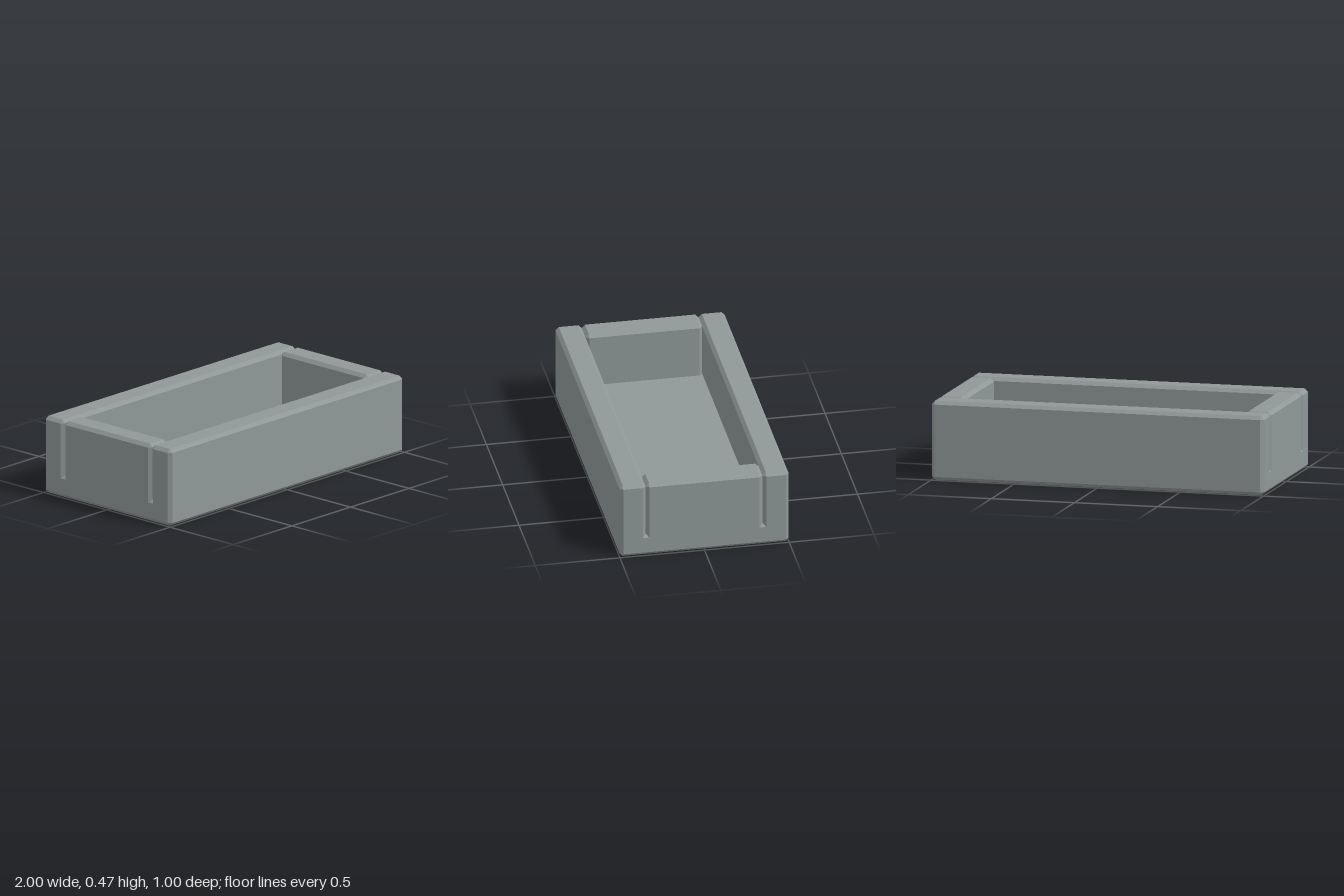
import * as THREE from 'three';
import { ConvexGeometry } from 'three/addons/geometries/ConvexGeometry.js';

const BEVEL = 0.02;

// Box with chamfered edges, spanning min to max
function chamferBox(min, max) {
  const points = [];
  for (const sx of [0, 1]) for (const sy of [0, 1]) for (const sz of [0, 1]) {
    const side = [sx, sy, sz];
    // Three points per corner, each lying on one of the three faces
    for (let face = 0; face < 3; face++) {
      const p = side.map((s, i) => {
        const inset = i === face ? 0 : BEVEL;
        return s ? max[i] - inset : min[i] + inset;
      });
      points.push(new THREE.Vector3(...p));
    }
  }
  return new ConvexGeometry(points);
}

export function createModel() {
  const group = new THREE.Group();
  group.name = 'tray';

  const stone = new THREE.MeshStandardMaterial({ color: 0x8f9997 });
  stone.name = 'grey stone';

  const H = 0.466; // overall height
  const RAIL = 0.345; // inner face of the long walls
  const END = 0.847; // inner face of the end walls

  const add = (name, min, max) => {
    const mesh = new THREE.Mesh(chamferBox(min, max), stone);
    mesh.name = name;
    group.add(mesh);
  };

  // Floor slab
  add('base', [-1, 0, -0.5], [1, 0.135, 0.5]);

  // Long walls
  add('frontWall', [-1, 0, RAIL], [1, H, 0.5]);
  add('backWall', [-1, 0, -0.5], [1, H, -RAIL]);

  // End walls between them, leaving V grooves at the joints
  add('leftWall', [END, 0, -RAIL], [1, H, RAIL]);
  add('rightWall', [-1, 0, -RAIL], [-END, H, RAIL]);

  return group;
}
